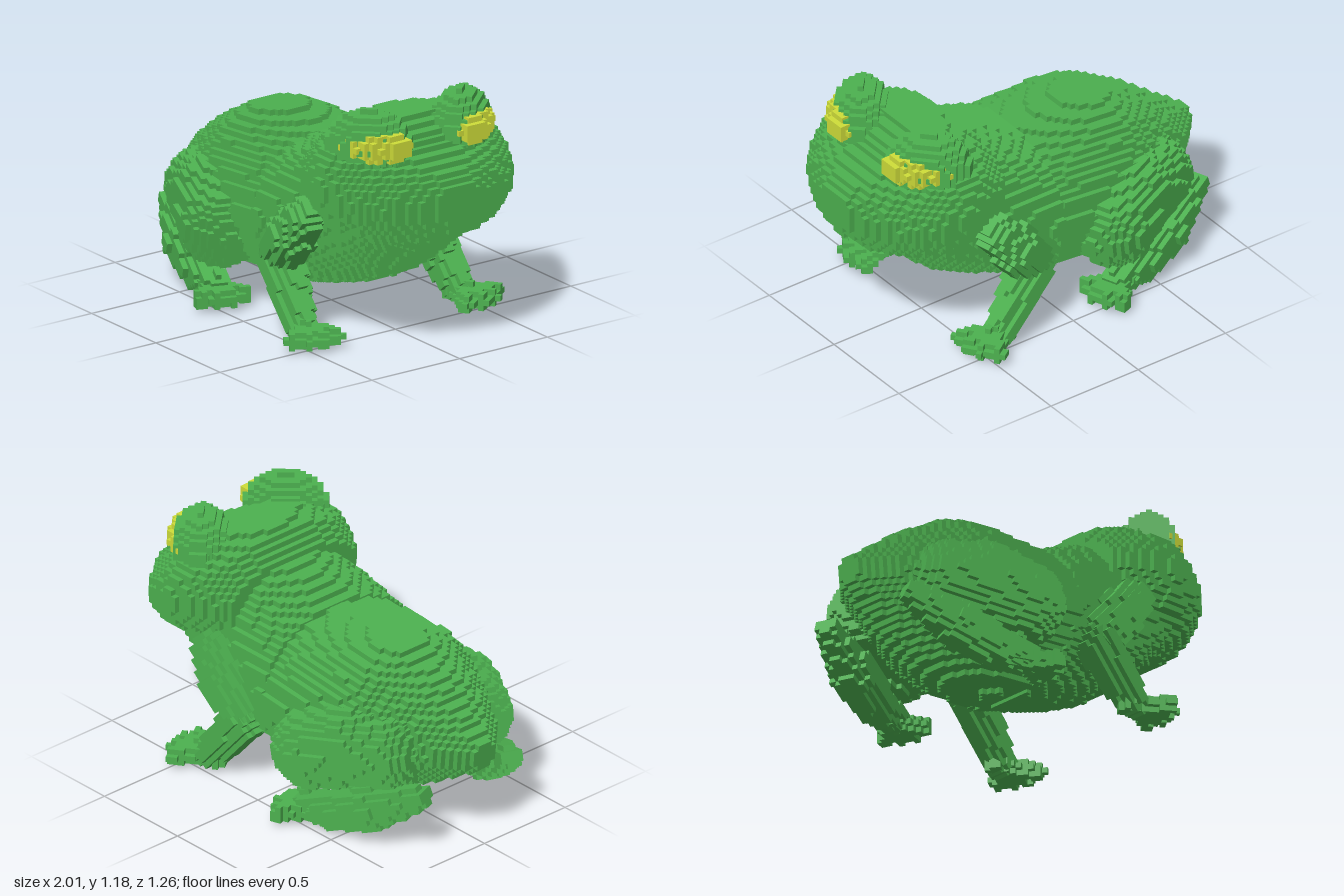
import * as THREE from 'three';

const S = 2 / 75; // voxel edge
const GREEN = 0x4cb04f, YELLOW = 0xcddc39;

// Fill a (possibly turned) voxel lattice wherever inside(p) holds, keeping only exposed faces
function voxelGeometry(inside, centre, reach, rot = [0, 0, 0], side = 1) {
  const q = new THREE.Quaternion().setFromEuler(new THREE.Euler(...rot, 'YZX'));
  const c = new THREE.Vector3(...centre), p = new THREE.Vector3();
  const toWorld = (a) => p.fromArray(a).multiplyScalar(S).applyQuaternion(q).add(c);
  const n = Math.ceil(reach / S), w = 2 * n + 3;
  const filled = new Uint8Array(w * w * w);
  const key = (a) => ((a[0] + n + 1) * w + a[1] + n + 1) * w + a[2] + n + 1;
  const cells = [];
  for (let i = -n; i <= n; i++)
    for (let j = -n; j <= n; j++)
      for (let k = -n; k <= n; k++) {
        if (!inside(toWorld([i, j, k]))) continue;
        filled[key([i, j, k])] = 1;
        cells.push([i, j, k]);
      }
  const pos = [];
  for (const cell of cells)
    for (let axis = 0; axis < 3; axis++)
      for (const d of [-1, 1]) {
        const next = cell.slice();
        next[axis] += d;
        if (filled[key(next)]) continue;
        const quad = [[-1, -1], [1, -1], [1, 1], [-1, 1]].map(([u, v]) => {
          const a = cell.slice();
          a[axis] += d / 2;
          a[(axis + 1) % 3] += u / 2;
          a[(axis + 2) % 3] += v / 2;
          toWorld(a);
          return [p.x, p.y, p.z * side];
        });
        if (d * side < 0) quad.reverse();
        for (const i of [0, 1, 2, 0, 2, 3]) pos.push(...quad[i]);
      }
  const g = new THREE.BufferGeometry();
  g.setAttribute('position', new THREE.Float32BufferAttribute(pos, 3));
  g.computeVertexNormals();
  return g;
}

// Solid through oval sections [x, bottom, top, halfWidth]
function sections(rows, power) {
  return (p) => {
    for (let i = 1; i < rows.length; i++) {
      const a = rows[i - 1], b = rows[i];
      if (p.x < a[0] || p.x > b[0]) continue;
      const t = (p.x - a[0]) / (b[0] - a[0]);
      const [, lo, hi, w] = a.map((v, k) => v + (b[k] - v) * t);
      const y = Math.abs(p.y - (lo + hi) / 2) / ((hi - lo) / 2);
      return y ** power + (Math.abs(p.z) / w) ** power < 1;
    }
    return false;
  };
}

// Ellipsoid turned about y
function ellipsoid(c, r, yaw) {
  const cs = Math.cos(yaw), sn = Math.sin(yaw);
  return (p) => {
    const x = p.x - c[0], y = p.y - c[1], z = p.z - c[2];
    return ((x * cs - z * sn) / r[0]) ** 2 + (y / r[1]) ** 2 + ((x * sn + z * cs) / r[2]) ** 2 < 1;
  };
}

// Round bar whose radius changes along a path of [x, y, z, radius]
function bar(...pts) {
  return (p) => pts.slice(1).some((b, i) => {
    const a = pts[i];
    const d = b.map((v, k) => v - a[k]);
    const len2 = d[0] ** 2 + d[1] ** 2 + d[2] ** 2;
    const dot = (p.x - a[0]) * d[0] + (p.y - a[1]) * d[1] + (p.z - a[2]) * d[2];
    const t = Math.min(1, Math.max(0, dot / len2));
    const r = a[3] + d[3] * t;
    return (p.x - a[0] - d[0] * t) ** 2 + (p.y - a[1] - d[1] * t) ** 2 + (p.z - a[2] - d[2] * t) ** 2 < r * r;
  });
}

// Palm with four spread toes
function foot(x, z, length, angles) {
  const parts = [bar([x - 0.04, 0.06, z, 0.05], [x + 0.05, 0.06, z + 0.02, 0.055])];
  for (const a of angles)
    parts.push(bar([x, 0.06, z, 0.035],
      [x + length * Math.cos(a), 0.055, z + length * Math.sin(a), 0.036]));
  return (p) => p.y > 0.015 && parts.some((f) => f(p));
}

export function createModel() {
  const frog = new THREE.Group();
  frog.name = 'frog';
  const skin = new THREE.MeshStandardMaterial({ color: GREEN, flatShading: true });
  const iris = new THREE.MeshStandardMaterial({ color: YELLOW, flatShading: true });
  const add = (parent, name, material, ...args) => {
    const mesh = new THREE.Mesh(voxelGeometry(...args), material);
    mesh.name = name;
    parent.add(mesh);
  };

  // Head, chest and hindquarters
  add(frog, 'head', skin, sections([
    [0.3, 0.64, 0.96, 0.38], [0.4, 0.56, 1.06, 0.45], [0.5, 0.53, 1.09, 0.5],
    [0.6, 0.52, 1.09, 0.52], [0.7, 0.52, 1.03, 0.5], [0.8, 0.53, 0.96, 0.44],
    [0.9, 0.56, 0.91, 0.33], [0.96, 0.61, 0.87, 0.2], [1, 0.68, 0.84, 0.1],
  ], 2.1), [0.64, 0.8, 0], 0.56);
  add(frog, 'chest', skin, sections([
    [0.02, 0.12, 0.84, 0.46], [0.12, 0.145, 0.88, 0.45], [0.2, 0.165, 0.915, 0.43],
    [0.35, 0.21, 0.98, 0.395], [0.5, 0.275, 1, 0.38], [0.6, 0.35, 0.95, 0.38],
    [0.7, 0.46, 0.85, 0.37], [0.8, 0.53, 0.75, 0.35],
  ], 2.1), [0.4, 0.56, 0], 0.5);
  add(frog, 'hindquarters', skin, sections([
    [-1, 0.42, 0.52, 0.06], [-0.95, 0.37, 0.55, 0.11], [-0.85, 0.31, 0.62, 0.2],
    [-0.7, 0.22, 0.73, 0.29], [-0.5, 0.14, 0.84, 0.385], [-0.4, 0.12, 0.86, 0.42],
    [-0.3, 0.1, 0.855, 0.44], [-0.1, 0.11, 0.83, 0.46], [0.04, 0.13, 0.82, 0.46],
  ], 2), [-0.48, 0.48, 0], 0.6, [0, 0, 0.09]);

  for (const side of [1, -1]) {
    const word = side > 0 ? 'right' : 'left';
    const group = (name) => {
      const g = new THREE.Group();
      g.name = word + name;
      frog.add(g);
      return g;
    };

    // Eye mound and the coloured eye looking forward and outward
    const eye = group('Eye'), turn = 0.83;
    add(eye, 'eyeMound', skin, ellipsoid([0.65, 1.0, 0.262], [0.195, 0.162, 0.135], turn),
      [0.65, 1.0, 0.262], 0.26, [0, turn, 0], side);
    add(eye, 'iris', iris, ellipsoid([0.725, 1.012, 0.277], [0.165, 0.078, 0.082], turn),
      [0.725, 1.012, 0.277], 0.2, [0, 0, 0], side);

    // Front leg
    const front = group('FrontLeg');
    add(front, 'upperArm', skin, bar([0.19, 0.37, 0.42, 0.1], [0.29, 0.49, 0.435, 0.118], [0.39, 0.6, 0.43, 0.09]),
      [0.28, 0.48, 0.43], 0.32, [0, -0.2, 0.85], side);
    add(front, 'forearm', skin, bar([0.18, 0.33, 0.415, 0.1], [0.29, 0.18, 0.43, 0.085], [0.38, 0.075, 0.45, 0.068]),
      [0.28, 0.2, 0.43], 0.3, [0, 0, -0.85], side);
    add(front, 'frontFoot', skin, foot(0.39, 0.44, 0.17, [-0.4, 0.08, 0.5, 0.95]),
      [0.42, 0.056, 0.47], 0.26, [0, -0.6, 0], side);

    // Hind leg
    const hind = group('HindLeg'), yaw = -0.35;
    add(hind, 'thigh', skin,
      bar([-0.62, 0.43, 0.265, 0.18], [-0.45, 0.43, 0.32, 0.21], [-0.29, 0.37, 0.415, 0.187]),
      [-0.44, 0.4, 0.35], 0.42, [0, yaw, -0.15], side);
    add(hind, 'shin', skin,
      bar([-0.86, 0.285, 0.28, 0.055], [-0.63, 0.17, 0.355, 0.108], [-0.42, 0.09, 0.42, 0.085], [-0.28, 0.085, 0.45, 0.06]),
      [-0.6, 0.18, 0.36], 0.45, [0, yaw, -0.35], side);
    add(hind, 'hindFoot', skin, foot(-0.33, 0.44, 0.17, [-0.35, 0.08, 0.5, 0.9]),
      [-0.28, 0.056, 0.46], 0.26, [0, yaw, 0], side);
  }
  return frog;
}
